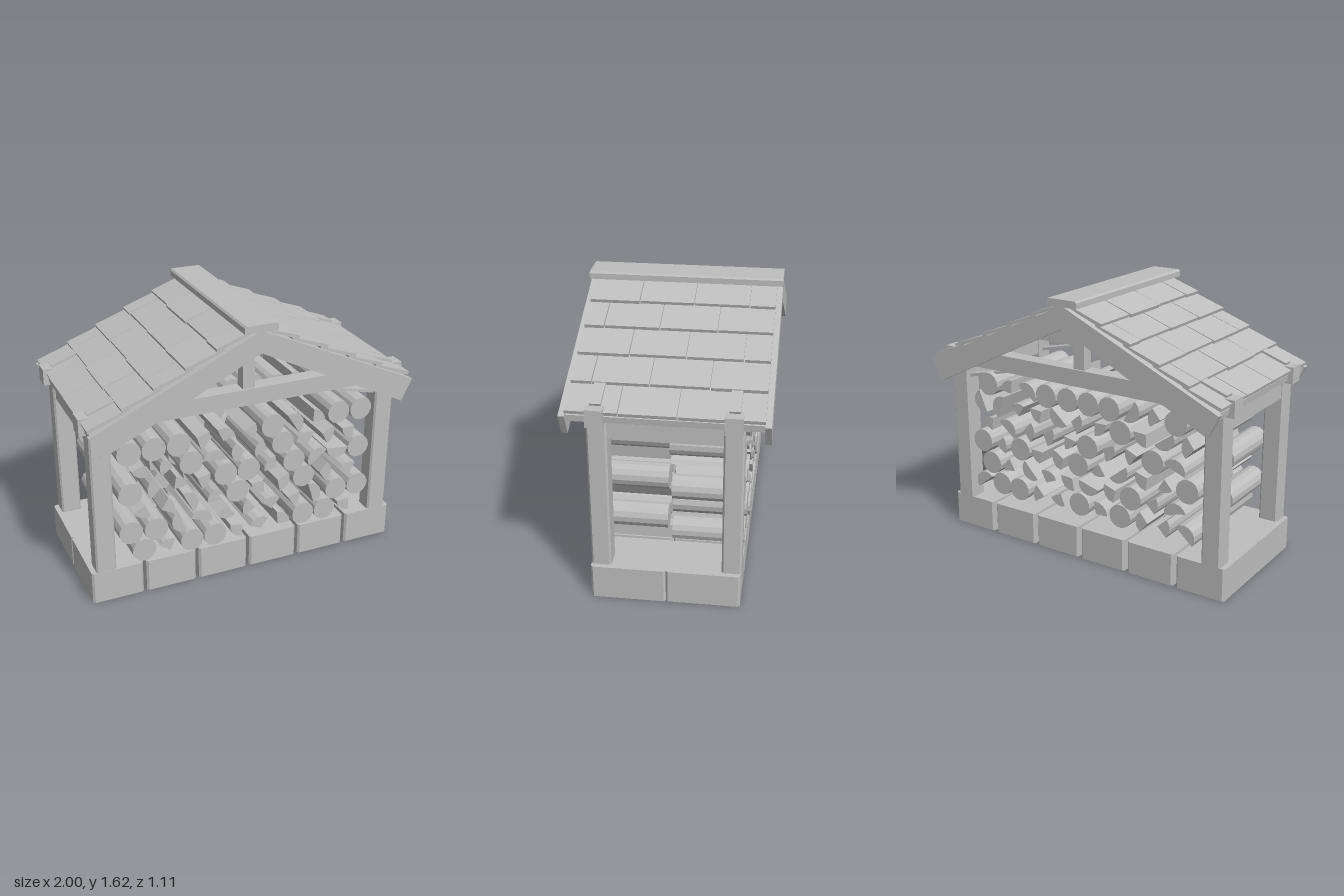
import * as THREE from 'three';

const gray = new THREE.MeshStandardMaterial({ color: 0xbebebe });
gray.name = 'plain gray';

export function createModel() {
  const model = new THREE.Group();
  model.name = 'firewoodShelter';

  const add = (name, geo, parent = model) => {
    const mesh = new THREE.Mesh(geo, gray);
    mesh.name = name;
    parent.add(mesh);
    return mesh;
  };
  const group = (name) => {
    const g = new THREE.Group();
    g.name = name;
    model.add(g);
    return g;
  };
  // box given by its limits
  const box = (name, x0, x1, y0, y1, z0, z1, parent) => {
    const geo = new THREE.BoxGeometry(x1 - x0, y1 - y0, z1 - z0);
    geo.translate((x0 + x1) / 2, (y0 + y1) / 2, (z0 + z1) / 2);
    return add(name, geo, parent);
  };
  // outline in x,y extruded from z0 to z1
  const slab = (name, pts, z0, z1, parent) => {
    const shape = new THREE.Shape(pts.map(([x, y]) => new THREE.Vector2(x, y)));
    const geo = new THREE.ExtrudeGeometry(shape, { depth: z1 - z0, bevelEnabled: false });
    geo.translate(0, 0, z0);
    return add(name, geo, parent);
  };
  // upright block with chamfered vertical edges
  const chamferBlock = (name, x0, x1, y0, y1, z0, z1, c, parent) => {
    const pts = [[x0 + c, -z0], [x0, -z0 - c], [x0, -z1 + c], [x0 + c, -z1],
      [x1 - c, -z1], [x1, -z1 + c], [x1, -z0 - c], [x1 - c, -z0]];
    const shape = new THREE.Shape(pts.map(([x, y]) => new THREE.Vector2(x, y)));
    const geo = new THREE.ExtrudeGeometry(shape, { depth: y1 - y0, bevelEnabled: false });
    geo.rotateX(-Math.PI / 2);
    geo.translate(0, y0, 0);
    return add(name, geo, parent);
  };
  let seed = 11;
  const rand = () => (seed = (seed * 16807) % 2147483647) / 2147483647;

  // foundation: six columns of two blocks
  const base = group('foundation');
  for (let i = 0; i < 6; i++) {
    const x = -0.825 + i * 0.33;
    chamferBlock('foundationBlock', x - 0.155, x + 0.155, 0, 0.2, 0, 0.42, 0.012, base);
    chamferBlock('foundationBlock', x - 0.155, x + 0.155, 0.002, 0.2, -0.415, 0, 0.012, base);
  }

  // timber frame, mirrored front/back and left/right
  const frame = group('frame');
  for (const f of [1, -1]) {
    const z = f * 0.363;
    box('tieBeam', -1, 1, 1.08, 1.18, z - 0.048, z + 0.048, frame);
    box('kingPost', -0.037, 0.037, 1.18, 1.5, z - 0.035, z + 0.035, frame);
    for (const s of [1, -1]) {
      chamferBlock('cornerPost', s * 0.89 - 0.06, s * 0.89 + 0.06, 0.2, 1.08, z - 0.055, z + 0.055, 0.01, frame);
      slab('rafter', [[0, 1.524], [0, 1.454], [s * 0.92, 1.132], [s * 0.945, 1.193]], z - 0.03, z + 0.03, frame);
      slab('brace', [[s * 0.83, 1.0], [s * 0.5, 1.08], [s * 0.56, 1.08], [s * 0.83, 1.02]], z - 0.03, z + 0.03, frame);
    }
  }
  for (const s of [1, -1]) {
    box('sidePlate', s * 0.89 - 0.045, s * 0.89 + 0.045, 0.985, 1.08, -0.31, 0.31, frame);
  }

  // roof: deck, overlapping shingles, gable boards and ridge cap
  const roof = group('roof');
  const deckY = (x) => 1.58 - 0.46 * x;
  const rows = [0.98, 0.79, 0.605, 0.42, 0.24, 0.06];
  for (const s of [1, -1]) {
    slab('roofDeck', [[0, 1.58], [0, 1.535], [s * 0.965, deckY(0.965) - 0.04], [s * 0.97, deckY(0.97)]], -0.52, 0.52, roof);
    for (let r = 0; r < 5; r++) {
      const x0 = rows[r], x1 = rows[r + 1] - 0.04;
      const joints = r % 2 ? [-0.525, -0.22, 0.1, 0.41, 0.525] : [-0.525, -0.38, -0.07, 0.24, 0.525];
      for (let j = 0; j < 4; j++) {
        const d = (rand() - 0.5) * 0.012;
        slab('shingle', [[s * (x0 + d), deckY(x0) + 0.014], [s * (x0 + d + 0.006), deckY(x0) + 0.034],
          [s * x1, deckY(x1) + 0.012], [s * x1, deckY(x1) - 0.004]],
        s * joints[j] + (s < 0 ? s * (joints[j + 1] - joints[j]) : 0) + 0.003,
        s * joints[j] + (s > 0 ? joints[j + 1] - joints[j] : 0) - 0.003, roof);
      }
    }
    for (const f of [1, -1]) {
      slab('gableBoard', [[0, 1.58], [0, 1.45], [s * 0.92, 1.0], [s * 0.985, 1.13]],
        f * 0.537 - 0.017, f * 0.537 + 0.017, roof);
    }
  }
  slab('ridgeCap', [[-0.1, 1.572], [0.1, 1.572], [0.1, 1.605], [0.09, 1.615], [-0.09, 1.615], [-0.1, 1.605]], -0.555, 0.555, roof);

  // firewood: O is a whole log, H a half, Q a split wedge
  const R = 0.072;
  const log = (kind, x, y, z0, z1, parent) => {
    const turn = rand() * Math.PI * 2;
    const sweep = kind === 'O' ? Math.PI * 2 : kind === 'H' ? Math.PI * 0.95 : Math.PI * (0.4 + rand() * 0.2);
    const n = kind === 'O' ? 14 : kind === 'H' ? 7 : 4;
    const pts = [];
    // wedges are pulled back so they sit in the middle of their cell
    const pull = kind === 'O' ? 0 : kind === 'H' ? 0.025 : 0.04;
    const cx = x - Math.cos(turn + sweep / 2) * pull;
    const cy = y - Math.sin(turn + sweep / 2) * pull;
    const r = kind === 'Q' ? R * 1.12 : R;
    if (kind === 'Q') pts.push([cx, cy]);
    for (let i = 0; i < (kind === 'O' ? n : n + 1); i++) {
      const a = turn + (sweep * i) / n;
      pts.push([cx + r * Math.cos(a), cy + r * Math.sin(a)]);
    }
    const name = { O: 'roundLog', H: 'halfLog', Q: 'splitLog' }[kind];
    slab(name, pts, z0 + (rand() - 0.5) * 0.02, z1 + (rand() - 0.5) * 0.02, parent);
  };
  const stack = (name, topY, pitch, map, z0, z1) => {
    const g = group(name);
    map.forEach((row, r) => [...row].forEach((kind, i) => {
      log(kind, (i - (row.length - 1) / 2) * 0.1465, topY - r * pitch, z0, z1, g);
    }));
  };
  stack('frontFirewood', 0.925, 0.128, [
    'OOOQQQOHQOO', 'QQOHQQOQQQ', 'OQQQOOQOHHO',
    'QQHQOQQOQQ', 'OOHHQQQQHOO', 'OQOOQQQOOQ'], 0.005, 0.42);
  stack('backFirewood', 0.99, 0.128, [
    'OQHOOOOHQO', 'QHQOQQHQQHH', 'HOQQOQQQHQ',
    'OQQHQOQQOQO', 'HQOQHQQHQO', 'HQQOQOQQOOH'], -0.42, -0.005);

  return model;
}
